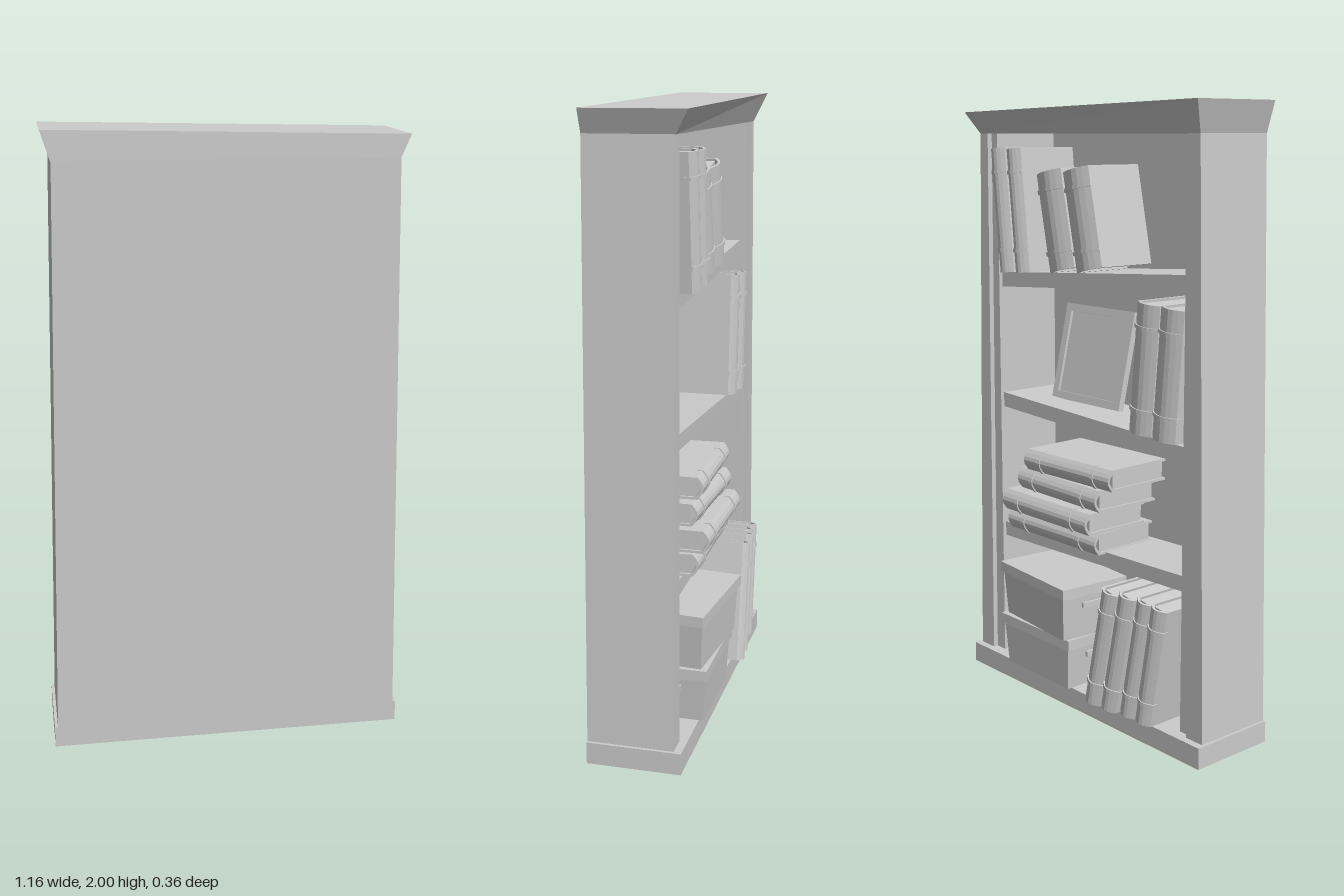
import * as THREE from 'three';

const grey = new THREE.MeshStandardMaterial({ color: 0xcccccc, flatShading: true });

function mesh(name, geometry, parent) {
  const m = new THREE.Mesh(geometry, grey);
  m.name = name;
  parent.add(m);
  return m;
}

function group(name, parent) {
  const g = new THREE.Group();
  g.name = name;
  parent.add(g);
  return g;
}

function box(name, parent, w, h, d, x, y, z) {
  const m = mesh(name, new THREE.BoxGeometry(w, h, d), parent);
  m.position.set(x, y, z);
  return m;
}

// Six-sided block whose corners come from a rule: corner(i, j, k), each 0 or 1
function block(name, parent, corner) {
  const geo = new THREE.BoxGeometry(1, 1, 1);
  const p = geo.attributes.position;
  for (let n = 0; n < p.count; n++) {
    p.setXYZ(n, ...corner(p.getX(n) > 0 ? 1 : 0, p.getY(n) > 0 ? 1 : 0, p.getZ(n) > 0 ? 1 : 0));
  }
  geo.computeVertexNormals();
  return mesh(name, geo, parent);
}

// U-shaped outline of boards and rounded spine, spine towards -z (drawn as shape y = -z)
function wrapShape(w, d, bulge, t) {
  const s = new THREE.Shape();
  const arc = (hw, b, z, sign) => {
    for (let i = 0; i <= 6; i++) {
      const u = sign * (1 - i / 3);
      s.lineTo(u * hw, -z + b * Math.cos(u * Math.PI / 2));
    }
  };
  s.moveTo(w / 2, -d);
  arc(w / 2, bulge, bulge, 1);
  s.lineTo(-w / 2, -d);
  s.lineTo(-w / 2 + t, -d);
  arc(w / 2 - t, bulge, bulge + t, -1);
  s.lineTo(w / 2 - t, -d);
  s.closePath();
  return s;
}

function wrap(name, parent, w, h, d, bulge, t, y, z) {
  const geo = new THREE.ExtrudeGeometry(wrapShape(w, d, bulge, t), { depth: h, bevelEnabled: false });
  geo.rotateX(-Math.PI / 2);
  const m = mesh(name, geo, parent);
  m.position.set(0, y, z);
  return m;
}

// Upright book standing on y = 0, spine tip at z = 0, pages running to +z
function book(name, parent, w, h, d) {
  const g = group(name, parent);
  const bulge = 0.02, t = 0.008;
  wrap('cover', g, w, h, d, bulge, t, 0, 0);
  const pageDepth = d - bulge - t - 0.008;
  box('pages', g, w - 2 * t, h - 0.016, pageDepth, 0, h / 2, bulge + t + pageDepth / 2);
  for (const f of [0.17, 0.8]) {
    wrap('spineBand', g, w + 0.005, 0.012, 0.04, bulge, 0.006, h * f, -0.004);
  }
  return g;
}

// Lean a book sideways about its foot; lean > 0 tips the top towards +x
function standing(name, parent, [x, y, z, w, h, d, lean]) {
  const g = book(name, parent, w, h, d);
  const a = THREE.MathUtils.degToRad(lean);
  g.rotation.z = -a;
  g.position.set(x, y + Math.abs(Math.sin(a)) * w / 2, z);
  return g;
}

// Tapered storage box with an overhanging lid and end handles
function storageBox(name, parent, w, h, d) {
  const g = group(name, parent);
  block('boxBody', g, (i, j, k) => {
    const s = j ? 0.95 : 0.88;
    return [(i - 0.5) * w * s, j * (h - 0.02), (k - 0.5) * d * s];
  });
  box('boxLid', g, w, 0.035, d, 0, h - 0.0175, 0);
  for (const s of [-1, 1]) {
    box('boxHandle', g, 0.012, 0.018, 0.09, s * w * 0.475, h * 0.62, 0);
  }
  return g;
}

export function createModel() {
  const model = new THREE.Group();
  model.name = 'bookcase';

  // Case: the outer width narrows from base to cornice
  const y0 = 0.07, y1 = 1.91;
  const half = (j) => (j ? 0.525 : 0.57);
  const body = group('case', model);
  box('base', body, 1.16, y0, 0.3, 0, y0 / 2, 0.03);
  block('backPanel', body, (i, j, k) => [(i * 2 - 1) * half(j), j ? y1 : y0, k ? 0.18 : 0.165]);
  for (const s of [-1, 1]) {
    const across = (i) => (s > 0 ? i : 1 - i);
    block('sidePanel', body, (i, j, k) =>
      [s * (across(i) ? half(j) : (j ? 0.485 : 0.5)), j ? y1 : y0, k ? 0.17 : -0.095]);
    block('innerStile', body, (i, j, k) =>
      [s * (across(i) ? 0.505 : 0.455), j ? y1 : y0, k ? 0.17 : -0.078]);
  }

  // Flared cornice with a slightly sloping top
  block('cornice', body, (i, j, k) => {
    const s = i * 2 - 1;
    return j ? [s * 0.555, i ? 1.975 : 2, k ? 0.18 : -0.138] : [s * 0.525, y1 - 0.005, k ? 0.18 : -0.095];
  });

  // Crooked shelves: [top at -x, top at +x]
  for (const [a, b] of [[0.575, 0.55], [0.98, 1.02], [1.5, 1.44]]) {
    block('shelf', body, (i, j, k) => [(i * 2 - 1) * 0.46, (i ? b : a) - (j ? 0 : 0.05), k ? 0.17 : -0.065]);
  }

  // Standing books: x, y, z, thickness, height, depth, lean in degrees
  const books = group('standingBooks', model);
  const rows = {
    topShelfBook: [
      [0.365, 1.445, -0.13, 0.075, 0.41, 0.24, 6],
      [0.28, 1.45, -0.13, 0.075, 0.405, 0.24, 6],
      [0.105, 1.46, -0.105, 0.125, 0.32, 0.23, 12],
      [-0.03, 1.47, -0.105, 0.125, 0.32, 0.23, 12],
    ],
    middleShelfBook: [
      [-0.265, 0.99, -0.1, 0.1, 0.41, 0.23, -5],
      [-0.37, 0.985, -0.1, 0.1, 0.41, 0.23, -5],
    ],
    bottomShelfBook: [
      [-0.115, 0.07, -0.168, 0.07, 0.41, 0.25, -12],
      [-0.19, 0.07, -0.164, 0.07, 0.415, 0.25, -12],
      [-0.265, 0.07, -0.148, 0.07, 0.41, 0.25, -11],
      [-0.338, 0.07, -0.148, 0.07, 0.405, 0.25, -10],
    ],
  };
  for (const [name, list] of Object.entries(rows)) {
    for (const spec of list) standing(name, books, spec);
  }

  // Stack of lying books: x centre, spine z, length, yaw
  const stack = group('bookStack', model);
  [[0.14, -0.118, 0.45, 0.02], [0.135, -0.154, 0.44, 0], [0.115, -0.115, 0.42, -0.03], [0.07, -0.11, 0.42, 0.03]]
    .forEach(([x, z, len, yaw], n) => {
      const holder = group('lyingBook', stack);
      const b = book('stackedBook', holder, 0.072, len, 0.26);
      b.rotation.z = Math.PI / 2;
      b.position.x = len / 2;
      holder.rotation.y = yaw;
      holder.position.set(x, 0.595 + n * 0.074, z);
    });

  // Picture frame leaning back
  const frame = group('pictureFrame', model);
  const fw = 0.335, fh = 0.33, rail = 0.026;
  const outline = new THREE.Shape([[-1, 0], [1, 0], [1, 1], [-1, 1]]
    .map(([x, y]) => new THREE.Vector2(x * fw / 2, y * fh)));
  outline.holes.push(new THREE.Path([[-1, 0], [-1, 1], [1, 1], [1, 0]]
    .map(([x, y]) => new THREE.Vector2(x * (fw / 2 - rail), rail + y * (fh - 2 * rail)))));
  mesh('frameRim', new THREE.ExtrudeGeometry(outline, { depth: 0.022, bevelEnabled: false }), frame);
  box('picture', frame, fw - 0.02, fh - 0.02, 0.008, 0, fh / 2, 0.014);
  frame.position.set(0.15, 1.01, 0.045);
  frame.rotation.set(0.22, 0.03, 0);

  // Two storage boxes, the upper one turned a little
  const boxes = group('storageBoxes', model);
  storageBox('lowerBox', boxes, 0.37, 0.18, 0.26).position.set(0.19, 0.07, -0.02);
  const upper = storageBox('upperBox', boxes, 0.39, 0.185, 0.26);
  upper.position.set(0.181, 0.25, -0.03);
  upper.rotation.y = -0.09;

  return model;
}
